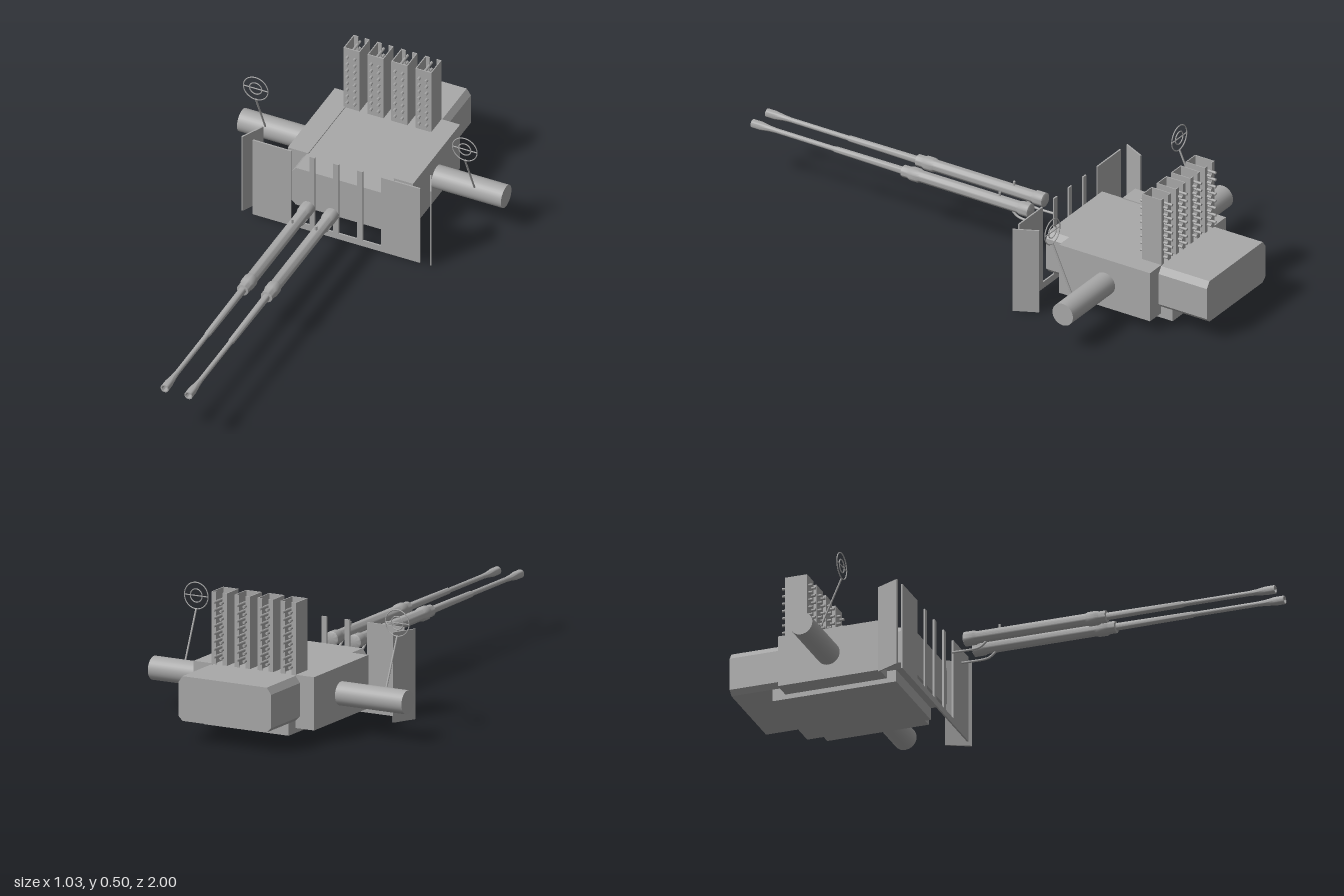
import * as THREE from 'three';
import { toCreasedNormals } from 'three/addons/utils/BufferGeometryUtils.js';

const grey = new THREE.MeshStandardMaterial({ color: 0xa8a8a8 });
grey.name = 'gunmetalGrey';

function add(parent, name, geometry) {
  const mesh = new THREE.Mesh(geometry, grey);
  mesh.name = name;
  parent.add(mesh);
  return mesh;
}

// Box given by its minimum and maximum on each axis
function box(parent, name, [x0, x1], [y0, y1], [z0, z1]) {
  const mesh = add(parent, name, new THREE.BoxGeometry(x1 - x0, y1 - y0, z1 - z0));
  mesh.position.set((x0 + x1) / 2, (y0 + y1) / 2, (z0 + z1) / 2);
  return mesh;
}

// Round bar between two points
function rod(parent, name, a, b, radius, sides = 8) {
  const from = new THREE.Vector3(...a), to = new THREE.Vector3(...b);
  const dir = to.clone().sub(from);
  const mesh = add(parent, name, new THREE.CylinderGeometry(radius, radius, dir.length(), sides));
  mesh.position.copy(from).add(to).multiplyScalar(0.5);
  mesh.quaternion.setFromUnitVectors(new THREE.Vector3(0, 1, 0), dir.normalize());
  return mesh;
}

function extrude(points, depth) {
  const shape = new THREE.Shape(points.map(([x, y]) => new THREE.Vector2(x, y)));
  return new THREE.ExtrudeGeometry(shape, { depth, bevelEnabled: false });
}

const slotCentres = [-0.142, -0.049, 0.044, 0.138];

function buildShield() {
  const g = new THREE.Group();
  g.name = 'shield';
  // Front plate with four slots open at the top
  const outline = [[-0.328, 0], [0.325, 0], [0.325, 0.327]];
  for (const x of [...slotCentres].reverse()) {
    outline.push([x + 0.036, 0.327], [x + 0.036, 0.025], [x - 0.036, 0.025], [x - 0.036, 0.327]);
  }
  outline.push([-0.328, 0.327]);
  add(g, 'slottedPlate', extrude(outline, 0.006)).position.z = -0.303;
  // Angled side plates
  for (const s of [-1, 1]) {
    const wing = add(g, 'shieldWing', new THREE.BoxGeometry(0.006, 0.327, 0.095));
    wing.position.set(s * 0.348 - 0.002, 0.1635, -0.343);
    wing.rotation.y = s * Math.atan2(0.041, 0.085);
  }
  return g;
}

function buildBody() {
  const g = new THREE.Group();
  g.name = 'cradle';
  const section = [
    [-0.172, 0.075], [0.17, 0.075], [0.187, 0.092], [0.187, 0.213],
    [0.17, 0.237], [-0.172, 0.237], [-0.19, 0.213], [-0.19, 0.092],
  ];
  add(g, 'mainHousing', extrude(section, 0.675)).position.z = -1;
  box(g, 'lowerTray', [-0.172, 0.17], [0.03, 0.08], [-0.845, -0.38]);
  box(g, 'leftCheek', [0.165, 0.242], [0.048, 0.241], [-0.797, -0.415]);
  box(g, 'rightCheek', [-0.247, -0.167], [0.048, 0.241], [-0.797, -0.415]);
  for (const s of [-1, 1]) {
    rod(g, 'trunnion', [s * 0.23, 0.143, -0.607], [s * 0.515 - 0.002, 0.143, -0.607], 0.043, 32);
  }
  return g;
}

// Channel magazine with cross pins, open at the back
function buildMagazine(x) {
  const g = new THREE.Group();
  g.name = 'magazine';
  const w = 0.0315, t = 0.004, gap = 0.013, front = 0.715, back = 0.797;
  const section = [
    [-w, front], [w, front], [w, back], [gap, back], [gap, back - t],
    [w - t, back - t], [w - t, front + t], [t - w, front + t],
    [t - w, back - t], [-gap, back - t], [-gap, back], [-w, back],
  ];
  const channel = extrude(section, 0.262);
  channel.rotateX(-Math.PI / 2);
  add(g, 'channel', channel).position.y = 0.239;
  for (let row = 0; row < 8; row++) {
    for (const s of [-1, 1]) {
      const y = 0.267 + row * 0.0283;
      rod(g, 'pin', [s * 0.0145, y, -0.7], [s * 0.0145, y, -0.814], 0.0052);
    }
  }
  g.position.x = x;
  return g;
}

function buildGun(x) {
  const g = new THREE.Group();
  g.name = 'gun';
  // Profile of radius and distance along the barrel, closed by the bore
  const profile = [
    [0, -0.17], [0.021, -0.17], [0.026, -0.167], [0.026, -0.13], [0.022, -0.12],
    [0.022, 0.29], [0.026, 0.3], [0.026, 0.33], [0.022, 0.34], [0.022, 0.366],
    [0.0135, 0.368], [0.0115, 0.65], [0.009, 0.66], [0.009, 0.9],
    [0.011, 0.93], [0.0155, 0.965], [0.0155, 1], [0.011, 1], [0.007, 0.95], [0, 0.95],
  ].map(([r, y]) => new THREE.Vector2(r, y));
  const barrel = new THREE.LatheGeometry(profile, 24);
  barrel.rotateX(Math.PI / 2);
  add(g, 'barrel', toCreasedNormals(barrel, 0.6));
  // Small top stud and the rear firing lever
  rod(g, 'stud', [0, 0.018, -0.037], [0, 0.036, -0.037], 0.005);
  const leverPath = new THREE.CatmullRomCurve3([
    [0, -0.018, -0.085], [0, -0.038, -0.11], [0, -0.043, -0.13], [0, -0.043, -0.215],
  ].map(p => new THREE.Vector3(...p)));
  add(g, 'lever', new THREE.TubeGeometry(leverPath, 16, 0.0045, 8));
  rod(g, 'leverEnd', [0, -0.043, -0.21], [0, -0.043, -0.216], 0.0045);
  g.position.set(x, 0.212, 0);
  return g;
}

function buildSight(side) {
  const g = new THREE.Group();
  g.name = 'ringSight';
  rod(g, 'stalk', [0, 0.172, -0.572], [0, 0.345, -0.495], 0.0035);
  for (const r of [0.048, 0.024]) {
    add(g, 'ring', new THREE.TorusGeometry(r, 0.0022, 6, 40)).position.set(0, 0.393, -0.494);
  }
  rod(g, 'crossWire', [-0.048, 0.393, -0.494], [0.048, 0.393, -0.494], 0.0022, 6);
  g.position.x = side * 0.408 - 0.002;
  return g;
}

export function createModel() {
  const model = new THREE.Group();
  model.name = 'twinGunMount';
  model.add(buildShield(), buildBody());
  slotCentres.forEach(x => model.add(buildMagazine(x)));
  [-0.048, 0.045].forEach(x => model.add(buildGun(x)));
  [-1, 1].forEach(s => model.add(buildSight(s)));
  return model;
}
